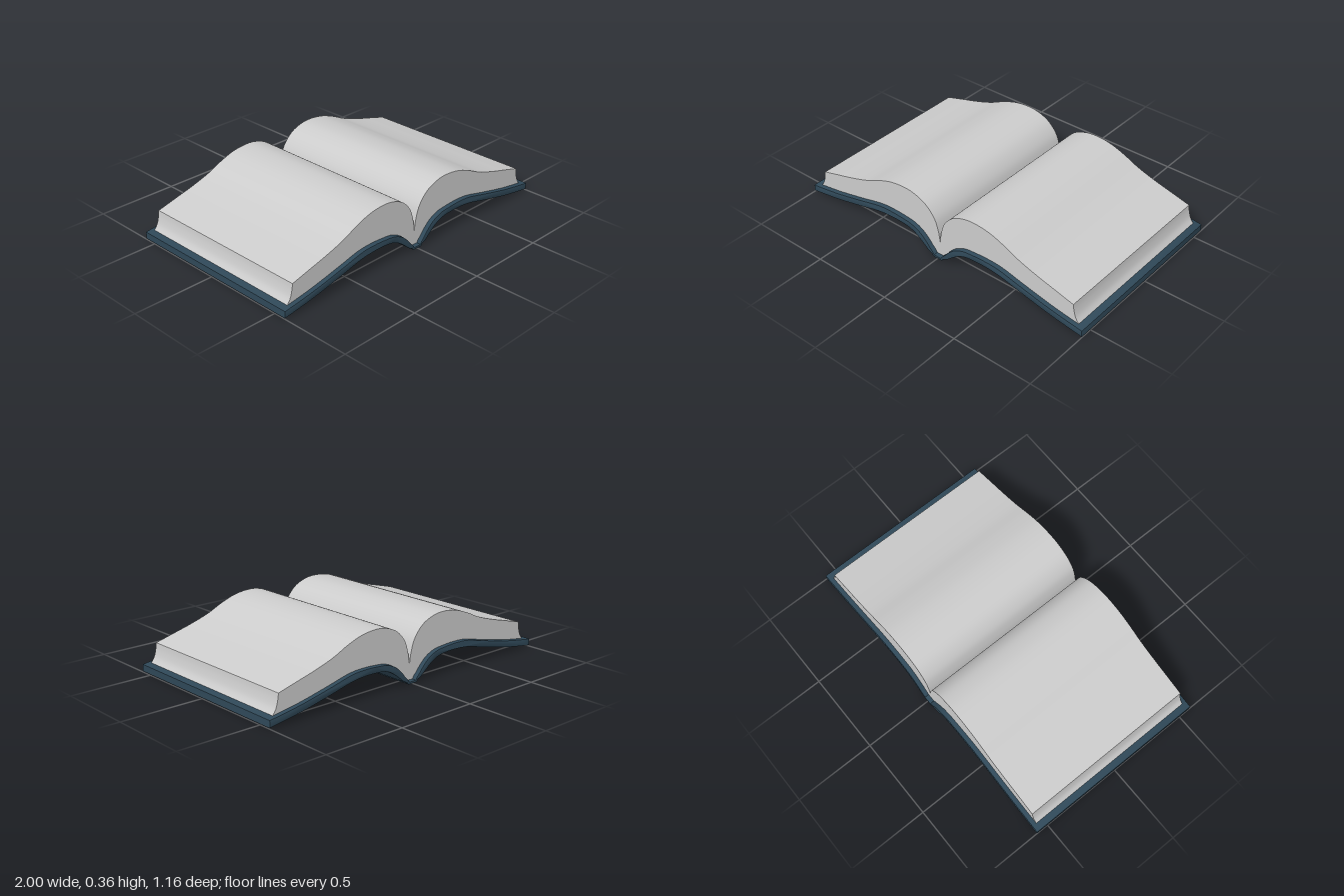
import * as THREE from 'three';
import { toCreasedNormals } from 'three/addons/utils/BufferGeometryUtils.js';

const pageMaterial = new THREE.MeshStandardMaterial({ color: 0xcccccc });
const coverMaterial = new THREE.MeshStandardMaterial({ color: 0x2f4858 });

// Smooth run of 2D points through a few control points
function smooth(points, divisions) {
  const curve = new THREE.SplineCurve(points.map(([x, y]) => new THREE.Vector2(x, y)));
  return curve.getPoints(divisions);
}

// Extrudes a right-half outline (centre top to centre bottom), mirrored in x, along z
function extrudeMirrored(half, depth, bevel) {
  const mirrored = half.slice(1, -1).reverse().map((p) => new THREE.Vector2(-p.x, p.y));
  const geometry = new THREE.ExtrudeGeometry(new THREE.Shape([...half, ...mirrored]), {
    depth: depth - 2 * bevel,
    bevelEnabled: bevel > 0,
    bevelThickness: bevel,
    bevelSize: bevel,
    bevelOffset: -bevel,
    bevelSegments: 2,
  });
  geometry.translate(0, 0, -depth / 2 + bevel);
  return toCreasedNormals(geometry, 0.6);
}

export function createModel() {
  const book = new THREE.Group();
  book.name = 'openBook';

  // Upper face of the cover, from hinge to outer edge
  const coverTop = [
    [0.035, 0.03], [0.055, 0.05], [0.085, 0.085], [0.13, 0.123], [0.19, 0.149], [0.26, 0.158],
    [0.35, 0.162], [0.45, 0.155], [0.6, 0.12], [0.8, 0.077], [1, 0.046],
  ];
  // Lower face of the cover, from outer edge to hinge
  const coverBottom = [
    [1, 0.005], [0.8, 0.036], [0.6, 0.079], [0.45, 0.114], [0.35, 0.124], [0.26, 0.122],
    [0.2, 0.113], [0.15, 0.09], [0.1, 0.052], [0.065, 0.024], [0.042, 0.015],
  ];

  // Cover with its narrow flat spine
  const v = (x, y) => new THREE.Vector2(x, y);
  const coverHalf = [
    v(0, 0.014), v(0.025, 0.014),
    ...smooth(coverTop, 48), ...smooth(coverBottom, 48),
    v(0.037, 0.005), v(0.028, 0), v(0, 0),
  ];
  const cover = new THREE.Mesh(extrudeMirrored(coverHalf, 1.156, 0.004), coverMaterial);
  cover.name = 'cover';

  // Pages: arched tops dropping into the gutter, hollowed fore edges
  const pageTop = [
    [0, 0.1], [0.012, 0.175], [0.04, 0.25], [0.1, 0.314], [0.18, 0.348], [0.26, 0.357],
    [0.36, 0.345], [0.46, 0.311], [0.56, 0.266], [0.68, 0.227], [0.8, 0.195], [0.92, 0.163],
  ];
  const foreEdge = [[0.92, 0.163], [0.925, 0.127], [0.938, 0.083], [0.96, 0.051]];
  const pageBottom = smooth(coverTop, 48).reverse().filter((p) => p.x < 0.95);
  const pageHalf = [
    ...smooth(pageTop, 60), ...smooth(foreEdge, 10).slice(1),
    ...pageBottom, v(0.025, 0.014), v(0, 0.014),
  ];
  const pages = new THREE.Mesh(extrudeMirrored(pageHalf, 1.1, 0), pageMaterial);
  pages.name = 'pages';

  book.add(cover, pages);
  return book;
}
